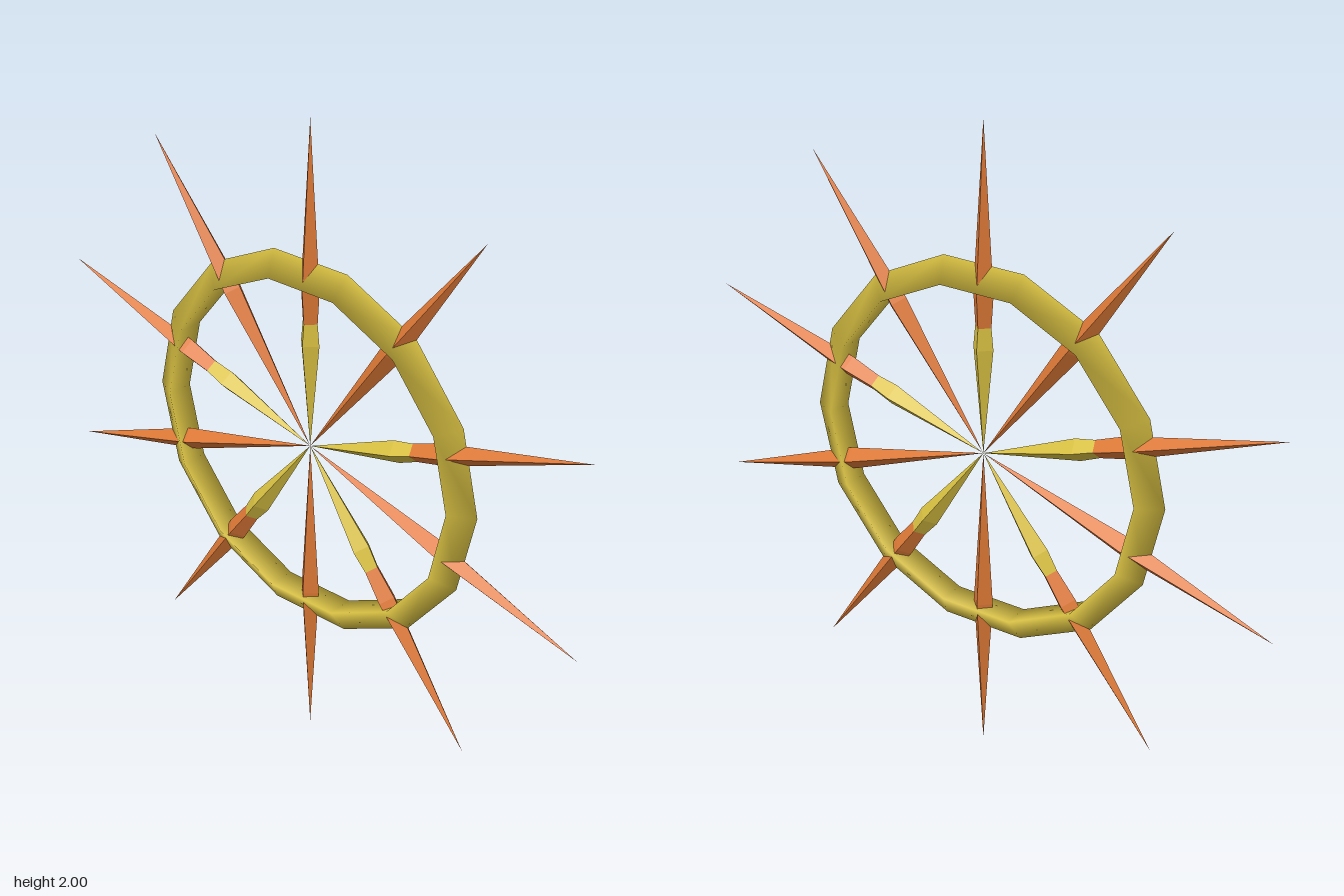
import * as THREE from 'three';

const SPIKES = 10;
const HALF_WIDTH = 0.034;

// Long four-sided crystal with one tip at the origin, pointing up
function crystal(length) {
  const geo = new THREE.OctahedronGeometry(1);
  geo.scale(HALF_WIDTH, length / 2, HALF_WIDTH);
  geo.translate(0, length / 2, 0);
  return geo;
}

export function createModel() {
  const gold = new THREE.MeshStandardMaterial({ color: 0xd8c042 });
  gold.name = 'gold';
  const copper = new THREE.MeshStandardMaterial({ color: 0xdc7836 });
  copper.name = 'copper';

  const model = new THREE.Group();
  model.name = 'spikedWheel';

  // Ring with a triangular section, sharp edge outward
  const ring = new THREE.Mesh(new THREE.TorusGeometry(0.55, 0.05, 3, 14), gold);
  ring.name = 'ring';
  ring.position.y = 1;
  model.add(ring);

  // Spikes radiate from the centre; every other one has a gold inner crystal
  const spikeGeo = crystal(1);
  const innerGeo = crystal(2 / 3);
  for (let i = 0; i < SPIKES; i++) {
    const arm = new THREE.Group();
    arm.name = `arm${i + 1}`;
    arm.position.y = 1;
    arm.rotation.z = (i / SPIKES) * Math.PI * 2;
    const spike = new THREE.Mesh(spikeGeo, copper);
    spike.name = 'spike';
    arm.add(spike);
    if (i % 2 === 0) {
      const inner = new THREE.Mesh(innerGeo, gold);
      inner.name = 'innerCrystal';
      arm.add(inner);
    }
    model.add(arm);
  }
  return model;
}
